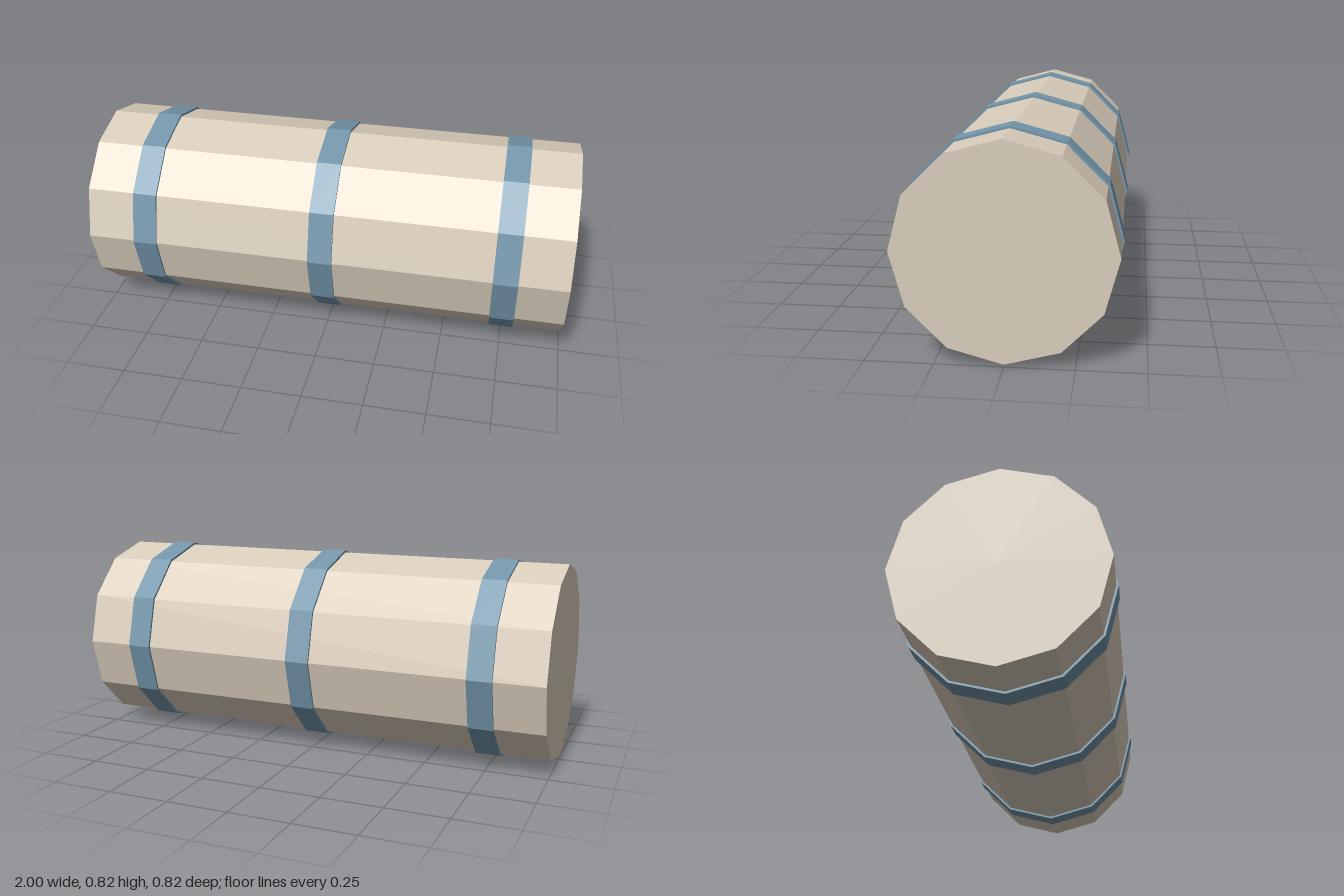
import * as THREE from 'three';

const SIDES = 12;
const BODY_RADIUS = 0.4;
const BAND_RADIUS = 0.409;
const BAND_HALF_WIDTH = 0.05;

export function createModel() {
  const group = new THREE.Group();
  group.name = 'bandedCylinder';

  const bodyMaterial = new THREE.MeshStandardMaterial({ color: 0xdacebc, flatShading: true });
  const bandMaterial = new THREE.MeshStandardMaterial({ color: 0x7496ab, flatShading: true });

  // Twelve-sided solid body lying along x
  const bodyGeometry = new THREE.CylinderGeometry(BODY_RADIUS, BODY_RADIUS, 2, SIDES);
  bodyGeometry.rotateZ(-Math.PI / 2);
  const body = new THREE.Mesh(bodyGeometry, bodyMaterial);
  body.name = 'body';
  body.position.y = BAND_RADIUS;
  group.add(body);

  // Thin raised bands: a closed rectangular section turned around the body
  const inner = BODY_RADIUS - 0.005;
  const section = [
    [inner, -BAND_HALF_WIDTH],
    [BAND_RADIUS, -BAND_HALF_WIDTH],
    [BAND_RADIUS, BAND_HALF_WIDTH],
    [inner, BAND_HALF_WIDTH],
    [inner, -BAND_HALF_WIDTH],
  ].map(([r, y]) => new THREE.Vector2(r, y));
  const bandGeometry = new THREE.LatheGeometry(section, SIDES);
  bandGeometry.rotateZ(-Math.PI / 2);

  const bands = { rightBand: -0.75, middleBand: 0, leftBand: 0.75 };
  for (const [name, x] of Object.entries(bands)) {
    const band = new THREE.Mesh(bandGeometry, bandMaterial);
    band.name = name;
    band.position.set(x, BAND_RADIUS, 0);
    group.add(band);
  }

  return group;
}
